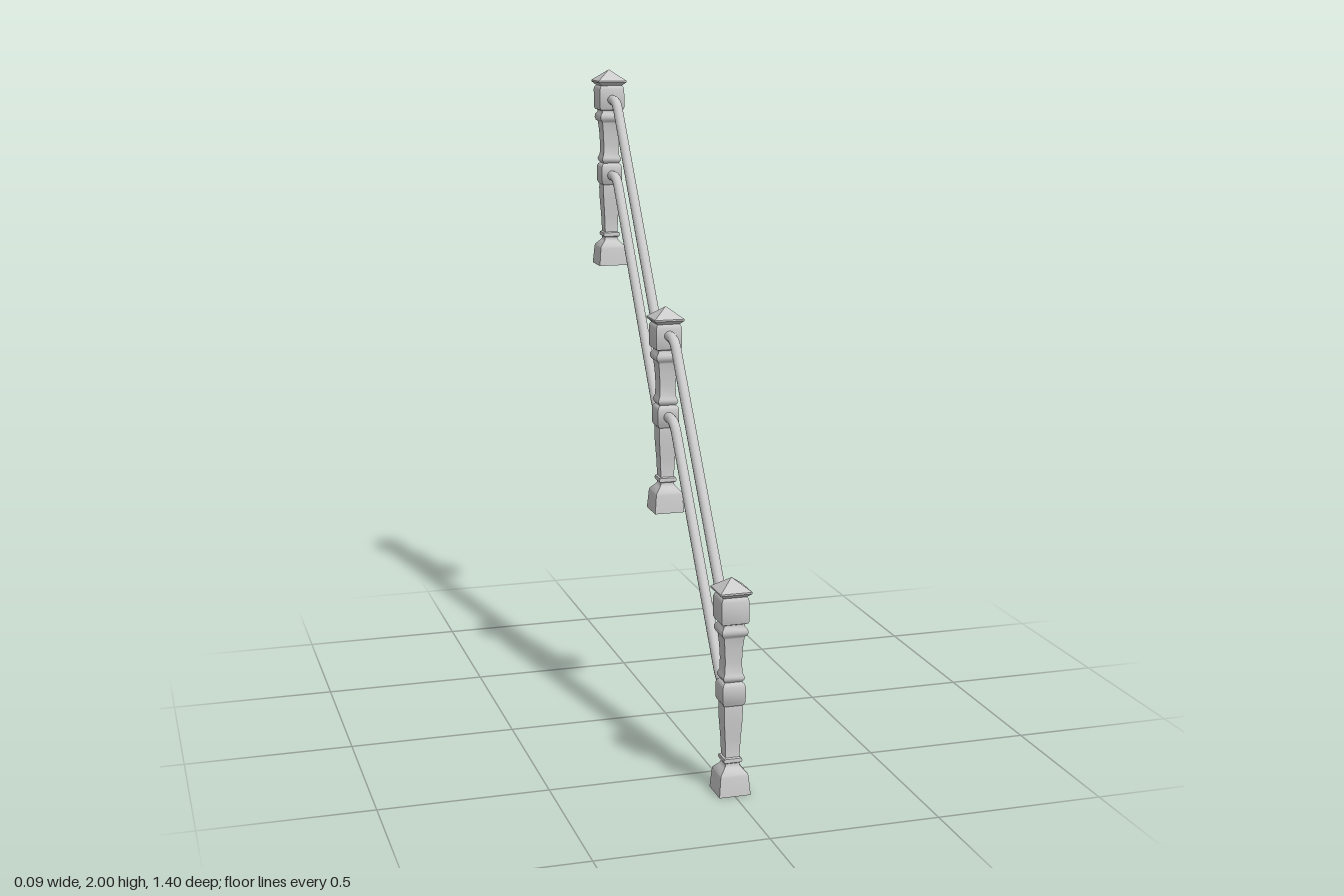
import * as THREE from 'three';
import { toCreasedNormals } from 'three/addons/utils/BufferGeometryUtils.js';

const material = new THREE.MeshStandardMaterial({ color: 0xcccccc });

// Half-width and height up the square newel post
const POST_PROFILE = [
  [0, 0], [0.047, 0], [0.042, 0.056], [0.04, 0.064], [0.027, 0.078], [0.022, 0.084],
  [0.021, 0.092], [0.026, 0.095], [0.028, 0.101], [0.026, 0.107], [0.021, 0.11],
  [0.023, 0.16], [0.027, 0.22], [0.028, 0.255], [0.027, 0.267],
  [0.031, 0.272], [0.034, 0.279], [0.034, 0.325], [0.031, 0.333], [0.025, 0.338],
  [0.029, 0.343], [0.032, 0.35], [0.03, 0.357], [0.026, 0.366],
  [0.025, 0.4], [0.027, 0.44], [0.03, 0.47], [0.031, 0.474],
  [0.036, 0.478], [0.039, 0.487], [0.038, 0.496], [0.031, 0.505], [0.031, 0.511],
  [0.038, 0.514], [0.041, 0.521], [0.041, 0.58], [0.038, 0.588], [0.035, 0.592],
  [0.047, 0.603], [0.047, 0.608], [0, 0.643],
];

// Each post: depth, base height, heights where the two rails meet it
const POSTS = [
  { z: 0.653, y: 0, rails: [0.305, 0.56] },
  { z: 0, y: 0.672, rails: [0.974, 1.229] },
  { z: -0.653, y: 1.357, rails: [1.655, 1.903] },
];

function createPost() {
  const points = POST_PROFILE.map(([w, y]) => new THREE.Vector2(w * Math.SQRT2, y));
  const geometry = new THREE.LatheGeometry(points, 4, Math.PI / 4);
  return toCreasedNormals(geometry, 0.7);
}

// Handrail: level at both ends, sloping between, with rounded bends
function createRail(lower, upper, index) {
  const at = (z, y) => new THREE.Vector3(0, y, z);
  const y0 = lower.rails[index], y1 = upper.rails[index];
  const start = at(lower.z, y0), end = at(upper.z, y1);
  const bendA = at(lower.z - 0.09, y0), bendB = at(upper.z + 0.093, y1);
  const slope = bendB.clone().sub(bendA).normalize().multiplyScalar(0.038);
  const a0 = bendA.clone().add(at(0.038, 0)), a1 = bendA.clone().add(slope);
  const b0 = bendB.clone().sub(slope), b1 = bendB.clone().add(at(-0.038, 0));

  const path = new THREE.CurvePath();
  path.add(new THREE.LineCurve3(start, a0));
  path.add(new THREE.QuadraticBezierCurve3(a0, bendA, a1));
  path.add(new THREE.LineCurve3(a1, b0));
  path.add(new THREE.QuadraticBezierCurve3(b0, bendB, b1));
  path.add(new THREE.LineCurve3(b1, end));
  return new THREE.TubeGeometry(path, 80, 0.016, 12, false);
}

export function createModel() {
  const group = new THREE.Group();
  group.name = 'stairRailing';
  const add = (name, geometry) => {
    const mesh = new THREE.Mesh(geometry, material);
    mesh.name = name;
    group.add(mesh);
    return mesh;
  };

  // Three stepped posts
  const postGeometry = createPost();
  POSTS.forEach((post, i) => {
    add(['frontPost', 'middlePost', 'backPost'][i], postGeometry).position.set(0, post.y, post.z);
  });

  // Lower and upper rails between neighbouring posts
  for (let i = 0; i < 2; i++) {
    ['lowerRail', 'upperRail'].forEach((name, j) => {
      add(`${i === 0 ? 'front' : 'back'}${name[0].toUpperCase()}${name.slice(1)}`,
        createRail(POSTS[i], POSTS[i + 1], j));
    });
  }
  return group;
}
